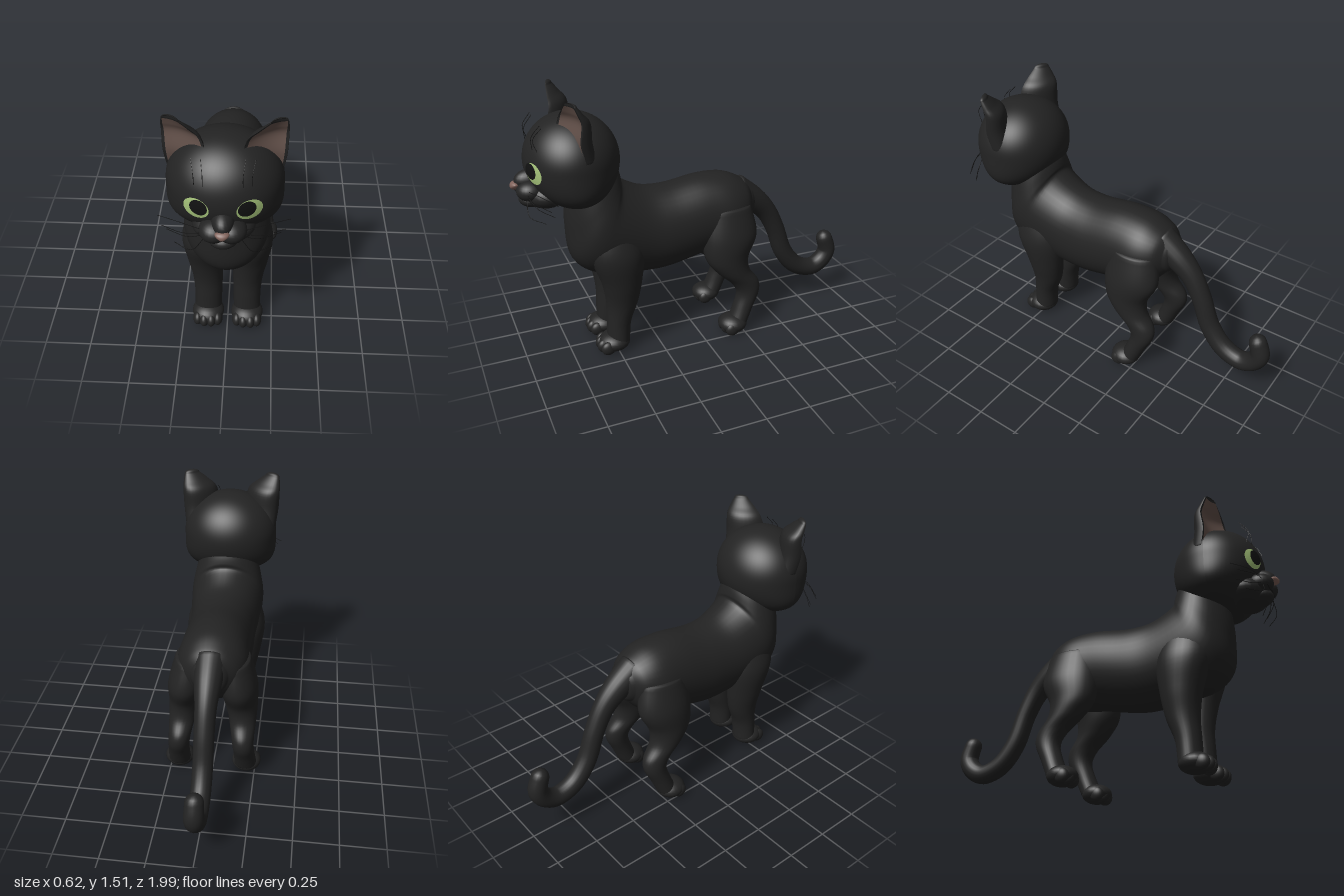
import * as THREE from 'three';

const paint = (name, color, side = THREE.FrontSide) => {
  const m = new THREE.MeshStandardMaterial({ color, side });
  m.name = name;
  return m;
};

// Smoothly interpolated row of a section table, t from 0 to 1
function rowAt(rows, t) {
  const f = t * (rows.length - 1);
  const i = Math.min(Math.floor(f), rows.length - 2);
  const u = f - i;
  const get = k => rows[Math.max(0, Math.min(rows.length - 1, k))];
  return rows[0].map((_, c) => {
    const [p, a, b, n] = [get(i - 1)[c], get(i)[c], get(i + 1)[c], get(i + 2)[c]];
    return a + 0.5 * u * (b - p + u * (2 * p - 5 * a + 4 * b - n + u * (3 * (a - b) + n - p)));
  });
}

// Skin over rings [x, y, z, halfWidth, halfDepth, tilt]; without a tilt the rings follow the path.
function loft(rows, { cap0 = 0.02, cap1 = 0.02, steps = 6, sides = 28, shape = (c, s) => [c, s] } = {}) {
  const n = (rows.length - 1) * steps;
  const rings = [];
  for (let i = 0; i <= n; i++) {
    const r = rowAt(rows, i / n);
    if (r.length < 6) {
      const a = rowAt(rows, Math.max(0, i - 0.5) / n), b = rowAt(rows, Math.min(n, i + 0.5) / n);
      r.push(Math.atan2(a[1] - b[1], b[2] - a[2]));
    }
    rings.push(r);
  }
  // Rounded ends
  const dome = (r, h, k) => {
    const f = k * Math.PI / 10, d = h * Math.sin(f), q = Math.max(0.002, Math.cos(f));
    return [r[0], r[1] - Math.sin(r[5]) * d, r[2] + Math.cos(r[5]) * d, r[3] * q, r[4] * q, r[5]];
  };
  const first = rings[0], last = rings[n];
  for (let k = 1; k <= 5; k++) {
    rings.unshift(dome(first, -cap0, k));
    rings.push(dome(last, cap1, k));
  }
  const pos = [], idx = [];
  rings.forEach(([x, y, z, a, b, t], i) => {
    for (let j = 0; j < sides; j++) {
      const th = j / sides * Math.PI * 2;
      const [c, s] = shape(Math.cos(th), Math.sin(th));
      pos.push(x + a * c, y + b * s * Math.cos(t), z + b * s * Math.sin(t));
      if (i < rings.length - 1) {
        const p = i * sides + j, q = i * sides + (j + 1) % sides;
        idx.push(p, q, q + sides, p, q + sides, p + sides);
      }
    }
  });
  const g = new THREE.BufferGeometry();
  g.setAttribute('position', new THREE.Float32BufferAttribute(pos, 3));
  g.setIndex(idx);
  g.computeVertexNormals();
  return g;
}

// Move every vertex by a rule
function bend(g, rule) {
  const p = g.attributes.position, v = new THREE.Vector3();
  for (let i = 0; i < p.count; i++) {
    rule(v.fromBufferAttribute(p, i));
    p.setXYZ(i, v.x, v.y, v.z);
  }
  g.computeVertexNormals();
  return g;
}

// Skull: an ellipsoid with full cheeks
const HEAD = { y: 1.15, z: 0.67, rx: 0.28, ry: 0.245, rz: 0.25 };
const cheek = ny => (ny < 0 ? 1 + 0.55 * ny * ny : 1);
function faceZ(x, y) {
  const ny = (y - HEAD.y) / HEAD.ry, nx = x / (HEAD.rx * cheek(ny));
  return HEAD.z + HEAD.rz * Math.sqrt(Math.max(0, 1 - nx * nx - ny * ny));
}

export function createModel() {
  const fur = paint('black fur', 0x232323);
  const dark = paint('pupil black', 0x121212);
  const green = paint('iris green', 0xa8c67c);
  const earPink = paint('inner ear brown', 0x67544d);
  const nosePink = paint('nose brown', 0x80625a);

  const cat = new THREE.Group();
  cat.name = 'cat';
  const add = (name, geo, mat = fur, parent = cat) => {
    const m = new THREE.Mesh(geo, mat);
    m.name = name;
    parent.add(m);
    return m;
  };
  const group = name => {
    const g = new THREE.Group();
    g.name = name;
    cat.add(g);
    return g;
  };
  const ball = (name, [x, y, z], [a, b, c], parent, mat = fur) =>
    add(name, new THREE.SphereGeometry(1, 24, 16).scale(a, b, c).translate(x, y, z), mat, parent);
  const tube = (name, pts, r, parent) =>
    add(name, new THREE.TubeGeometry(
      new THREE.CatmullRomCurve3(pts.map(p => new THREE.Vector3(...p))), 10, r, 4), dark, parent);

  // Rump to neck
  add('body', loft([
    [0, 0.75, -0.35, 0.10, 0.11, 0],
    [0, 0.74, -0.30, 0.16, 0.16, 0],
    [0, 0.72, -0.20, 0.20, 0.22, 0],
    [0, 0.71, -0.05, 0.20, 0.237, 0],
    [0, 0.675, 0.15, 0.20, 0.245, 0],
    [0, 0.68, 0.30, 0.20, 0.255, 0],
    [0, 0.73, 0.49, 0.22, 0.275, -0.29],
    [0, 0.80, 0.56, 0.22, 0.27, -0.55],
    [0, 0.91, 0.577, 0.20, 0.218, -0.75],
    [0, 1.00, 0.58, 0.18, 0.17, -0.95],
  ], { cap0: 0.04, cap1: 0.03, sides: 40 }));

  // Tail, hanging and curling up at the tip
  add('tail', loft([
    [0, 0.82, -0.28, 0.09, 0.09], [0, 0.74, -0.40, 0.075, 0.075], [0, 0.65, -0.49, 0.06, 0.062],
    [0, 0.52, -0.56, 0.056, 0.056], [0, 0.36, -0.62, 0.056, 0.056], [0, 0.245, -0.71, 0.056, 0.056],
    [0, 0.20, -0.82, 0.055, 0.055], [0, 0.23, -0.90, 0.055, 0.055], [0, 0.30, -0.942, 0.054, 0.054],
    [0, 0.385, -0.92, 0.05, 0.05],
  ], { cap1: 0.05, sides: 20 }));

  const down = Math.PI / 2;
  for (const [s, side] of [[1, 'left'], [-1, 'right']]) {
    // Legs with paws and toes
    const leg = (name, rows, paw, size, toeZ) => {
      const g = group(`${side} ${name}`);
      add('leg', loft(rows.map(([x, ...r]) => [x * s, ...r, down])), fur, g);
      ball('paw', [paw[0] * s, paw[1], paw[2]], size, g);
      for (const dx of [-0.056, -0.02, 0.02, 0.056])
        ball('toe', [paw[0] * s + dx, 0.043, paw[2] + toeZ - Math.abs(dx) * 0.35], [0.027, 0.041, 0.042], g);
    };
    leg('front leg', [
      [0.11, 0.76, 0.49, 0.09, 0.13], [0.13, 0.61, 0.48, 0.112, 0.15], [0.125, 0.44, 0.46, 0.098, 0.115],
      [0.112, 0.30, 0.46, 0.084, 0.09], [0.108, 0.18, 0.482, 0.076, 0.069], [0.11, 0.06, 0.49, 0.076, 0.065],
    ], [0.11, 0.055, 0.515], [0.09, 0.055, 0.09], 0.07);
    leg('hind leg', [
      [0.12, 0.77, -0.18, 0.09, 0.14], [0.145, 0.61, -0.185, 0.107, 0.165], [0.16, 0.48, -0.165, 0.095, 0.13],
      [0.172, 0.39, -0.20, 0.08, 0.10], [0.18, 0.31, -0.27, 0.066, 0.085], [0.186, 0.24, -0.29, 0.061, 0.069],
      [0.192, 0.15, -0.258, 0.061, 0.06], [0.196, 0.06, -0.22, 0.066, 0.06],
    ], [0.2, 0.055, -0.19], [0.085, 0.055, 0.085], 0.045);

    // Ear: a cupped shell with a coloured hollow
    const ear = group(`${side} ear`);
    const earRows = [
      [0.20, 1.20, 0.69, 0.075, 0.09], [0.185, 1.30, 0.715, 0.102, 0.10], [0.195, 1.40, 0.707, 0.095, 0.08],
      [0.22, 1.45, 0.722, 0.069, 0.05], [0.243, 1.49, 0.736, 0.04, 0.026],
    ];
    const slant = v => { v.z -= (v.x * s - 0.2) * 0.4; };
    add('ear shell', bend(loft(earRows.map(([x, ...r]) => [x * s, ...r, -down]), {
      cap1: 0.018, shape: (c, q) => [c, q < 0 ? 0.3 * q * q : q],
    }), slant), fur, ear);
    add('inner ear', bend(new THREE.PlaneGeometry(1, 1, 12, 20), v => {
      const u = v.x * 1.72;
      const [x, y, z, a, b] = rowAt(earRows, 0.04 + (v.y + 0.5) * 0.93);
      v.set(x * s + a * u, y, z - 0.3 * b * (1 - u * u) + 0.005);
      slant(v);
    }), earPink, ear);

    // Eye plates lying on the face
    const eye = group(`${side} eye`);
    const disc = (name, x, y, rx, ry, lift, mat) => add(name,
      bend(new THREE.RingGeometry(0.0001, 1, 36, 6), v => {
        const px = x * s + v.x * rx, py = y + v.y * ry;
        v.set(px, py, faceZ(px, py) + lift);
      }), mat, eye);
    disc('iris', 0.121, 1.133, 0.059, 0.057, 0.005, green);
    disc('pupil', 0.11, 1.144, 0.041, 0.043, 0.009, dark);

    // Muzzle half, mouth line and whiskers
    const cheekPart = group(`${side} muzzle`);
    ball('whisker pad', [0.042 * s, 1.015, 0.9], [0.07, 0.055, 0.075], cheekPart);
    tube('mouth', [[0, 0.99, 0.951], [0.04 * s, 0.975, 0.952], [0.08 * s, 0.985, 0.948]], 0.003, cheekPart);
    [[0.31, 1.02, 0.82], [0.29, 0.985, 0.85], [0.27, 0.945, 0.83], [0.23, 0.90, 0.87]].forEach(([x, y, z], i) =>
      tube('whisker', [[0.08 * s, 1.03 - i * 0.012, 0.93], [x * 0.62 * s, y + 0.015, z + 0.065], [x * s, y, z]],
        0.0018, cheekPart));
    for (const x of [0.09, 0.13])
      tube('brow whisker', [[x * s, 1.24, faceZ(x, 1.24) - 0.005], [x * s, 1.31, 0.885], [x * 1.1 * s, 1.37, 0.84]],
        0.0015, cheekPart);
  }

  // Head and the middle of the face
  add('head', bend(new THREE.SphereGeometry(1, 64, 48), v => {
    v.set(v.x * HEAD.rx * cheek(v.y), HEAD.y + v.y * HEAD.ry, HEAD.z + v.z * HEAD.rz);
  }));
  ball('jaw', [0, 0.985, 0.82], [0.15, 0.08, 0.115], cat);
  ball('chin', [0, 0.957, 0.88], [0.075, 0.045, 0.08], cat);
  ball('nose bridge', [0, 1.06, 0.885], [0.055, 0.06, 0.092], cat);
  add('nose', bend(new THREE.SphereGeometry(1, 20, 14), v => {
    v.set(v.x * 0.03 * (1 + 0.6 * v.y), 1.038 + v.y * 0.022, 0.972 + v.z * 0.026);
  }), nosePink);
  return cat;
}
